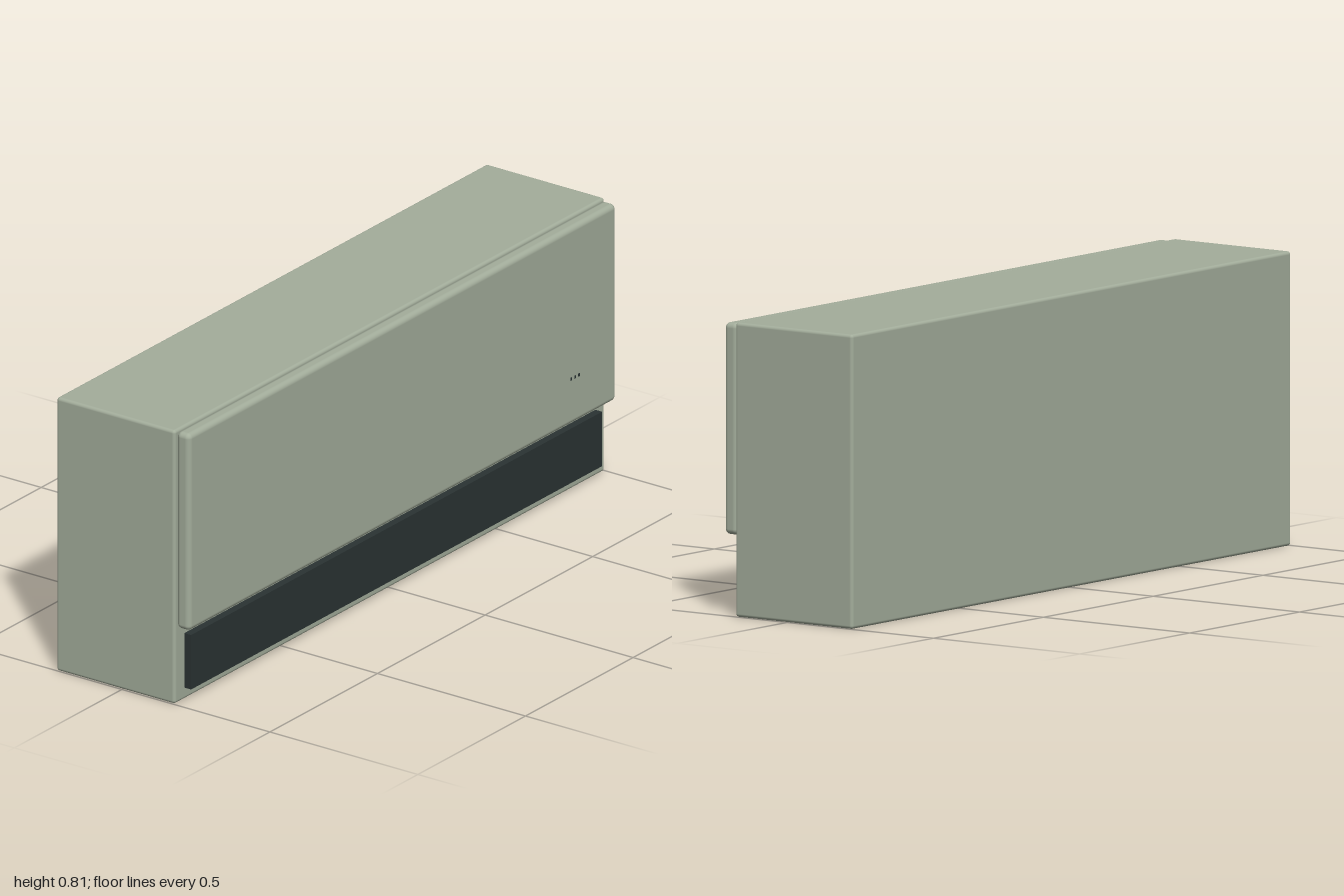
import * as THREE from 'three';
import { RoundedBoxGeometry } from 'three/addons/geometries/RoundedBoxGeometry.js';

export function createModel() {
  const model = new THREE.Group();
  model.name = 'wallAirConditioner';

  const sage = new THREE.MeshStandardMaterial({ color: 0xa3ad9b });
  sage.name = 'sageCasing';
  const dark = new THREE.MeshStandardMaterial({ color: 0x2a3333 });
  dark.name = 'darkVent';

  // Places a geometry by its centre
  const add = (name, geometry, material, x, y, z) => {
    const mesh = new THREE.Mesh(geometry, material);
    mesh.name = name;
    mesh.position.set(x, y, z);
    model.add(mesh);
  };

  // Main casing, softly rounded
  add('casing', new RoundedBoxGeometry(2, 0.813, 0.4, 4, 0.009), sage, 0, 0.4065, -0.022);

  // Raised front cover
  add('frontPanel', new RoundedBoxGeometry(1.986, 0.585, 0.045, 5, 0.015), sage, 0, 0.5165, 0.2);

  // Air outlet below the cover
  add('airOutlet', new THREE.BoxGeometry(1.91, 0.162, 0.043), dark, 0, 0.116, 0.1795);

  // Tiny indicator marks on the cover
  for (let i = -1; i <= 1; i++) {
    add('indicator', new THREE.BoxGeometry(0.007, 0.009, 0.002), dark, 0.8 + i * 0.018, 0.36, 0.2222);
  }

  return model;
}
